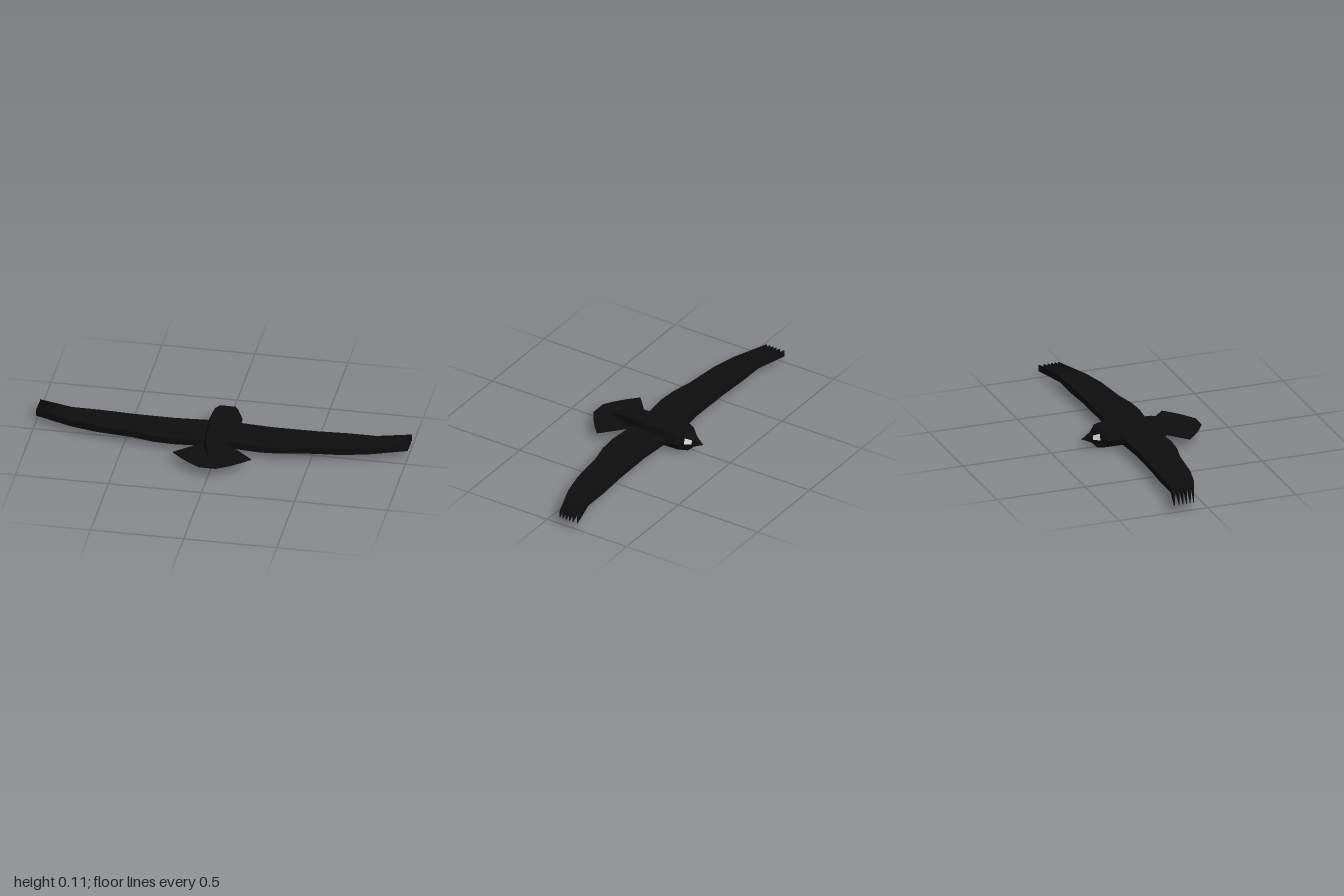
import * as THREE from 'three';

const black = new THREE.MeshStandardMaterial({ color: 0x0e0e0e, flatShading: true });
black.name = 'black feathers';
const pale = new THREE.MeshStandardMaterial({ color: 0xdedede, flatShading: true, side: THREE.DoubleSide });
pale.name = 'pale eye';

const MID = 0.056;
// body stations from tail end to beak: z, half width, half height
const stations = [
  [0.24, 0.012, 0.011], [0.19, 0.035, 0.029], [0.14, 0.054, 0.044], [0.08, 0.07, 0.054],
  [-0.05, 0.083, 0.054], [-0.145, 0.09, 0.054], [-0.21, 0.085, 0.054], [-0.245, 0.056, 0.054],
  [-0.276, 0.03, 0.024], [-0.318, 0.007, 0.005], [-0.332, 0.001, 0.001],
];
// unit cross-section, counter-clockwise seen from +z
const ring = [[1, 0.05], [0.75, 1], [-0.75, 1], [-1, 0.05], [-0.75, -0.65], [-0.3, -1], [0.3, -1], [0.75, -0.65]];

function mesh(name, geometry, material = black) {
  const m = new THREE.Mesh(geometry, material);
  m.name = name;
  return m;
}

function surface(points, index) {
  const g = new THREE.BufferGeometry();
  g.setAttribute('position', new THREE.Float32BufferAttribute(points, 3));
  g.setIndex(index);
  g.computeVertexNormals();
  return g;
}

function bodyGeometry() {
  const points = [], index = [], n = ring.length, last = (stations.length - 1) * n;
  for (const [z, w, h] of stations) for (const [x, y] of ring) points.push(x * w, MID + y * h, z);
  for (let s = 0; s < stations.length - 1; s++) {
    for (let i = 0; i < n; i++) {
      const a = s * n + i, b = s * n + (i + 1) % n;
      index.push(a, a + n, b, b, a + n, b + n);
    }
  }
  for (let i = 1; i < n - 1; i++) index.push(0, i, i + 1, last, last + i + 1, last + i);
  return surface(points, index);
}

// outline in (x, z) extruded upward from y0 to y1
function slab(outline, y0, y1) {
  const shape = new THREE.Shape(outline.map(([x, z]) => new THREE.Vector2(x, -z)));
  const g = new THREE.ExtrudeGeometry(shape, { depth: y1 - y0, bevelEnabled: false });
  return g.rotateX(-Math.PI / 2).translate(0, y0, 0);
}

function wingOutline(side) {
  const points = [[0.03, -0.14], [0.1, -0.14], [0.26, -0.128], [0.5, -0.13], [0.66, -0.139], [0.82, -0.14]];
  // fingered primaries with narrow slits
  const tips = [-0.188, -0.16, -0.138, -0.118, -0.098, -0.078];
  tips.forEach((z, i) => {
    points.push([1, z - 0.002], [1, z + 0.002]);
    if (i < 5) points.push([0.83 - i * 0.004, -0.14 + (i + 1) * 0.0235]);
  });
  points.push([0.8, 0], [0.66, 0.033], [0.45, 0.055], [0.34, 0.08], [0.235, 0.087], [0.09, 0.075], [0.03, 0.075]);
  return points.map(([x, z]) => [x * side, z]);
}

// pale patch lying on the upper side of the head
function eyeGeometry(side) {
  const corner = (station, t) => {
    const [z, w, h] = station;
    const x = THREE.MathUtils.lerp(ring[0][0], ring[1][0], t) * w + 0.002;
    return [x * side, MID + THREE.MathUtils.lerp(ring[0][1], ring[1][1], t) * h, z];
  };
  const back = stations[7], front = stations[8];
  const points = [corner(back, 0), corner(front, 0), corner(front, 0.95), corner(back, 0.67)].flat();
  return surface(points, side > 0 ? [0, 1, 2, 0, 2, 3] : [0, 2, 1, 0, 3, 2]);
}

export function createModel() {
  const model = new THREE.Group();
  model.name = 'bird';
  model.add(mesh('body', bodyGeometry()));
  for (const side of [1, -1]) {
    const label = side > 0 ? 'left' : 'right';
    model.add(mesh(label + 'Wing', slab(wingOutline(side), 0.039, 0.075)));
    model.add(mesh(label + 'Eye', eyeGeometry(side), pale));
  }
  // fanned tail
  const half = [[0.045, 0.07], [0.075, 0.085], [0.14, 0.14], [0.21, 0.203], [0.16, 0.25], [0.11, 0.29], [0.045, 0.331]];
  const tail = [...half, ...half.map(([x, z]) => [-x, z]).reverse()];
  model.add(mesh('tail', slab(tail, 0.056, 0.061)));
  return model;
}
